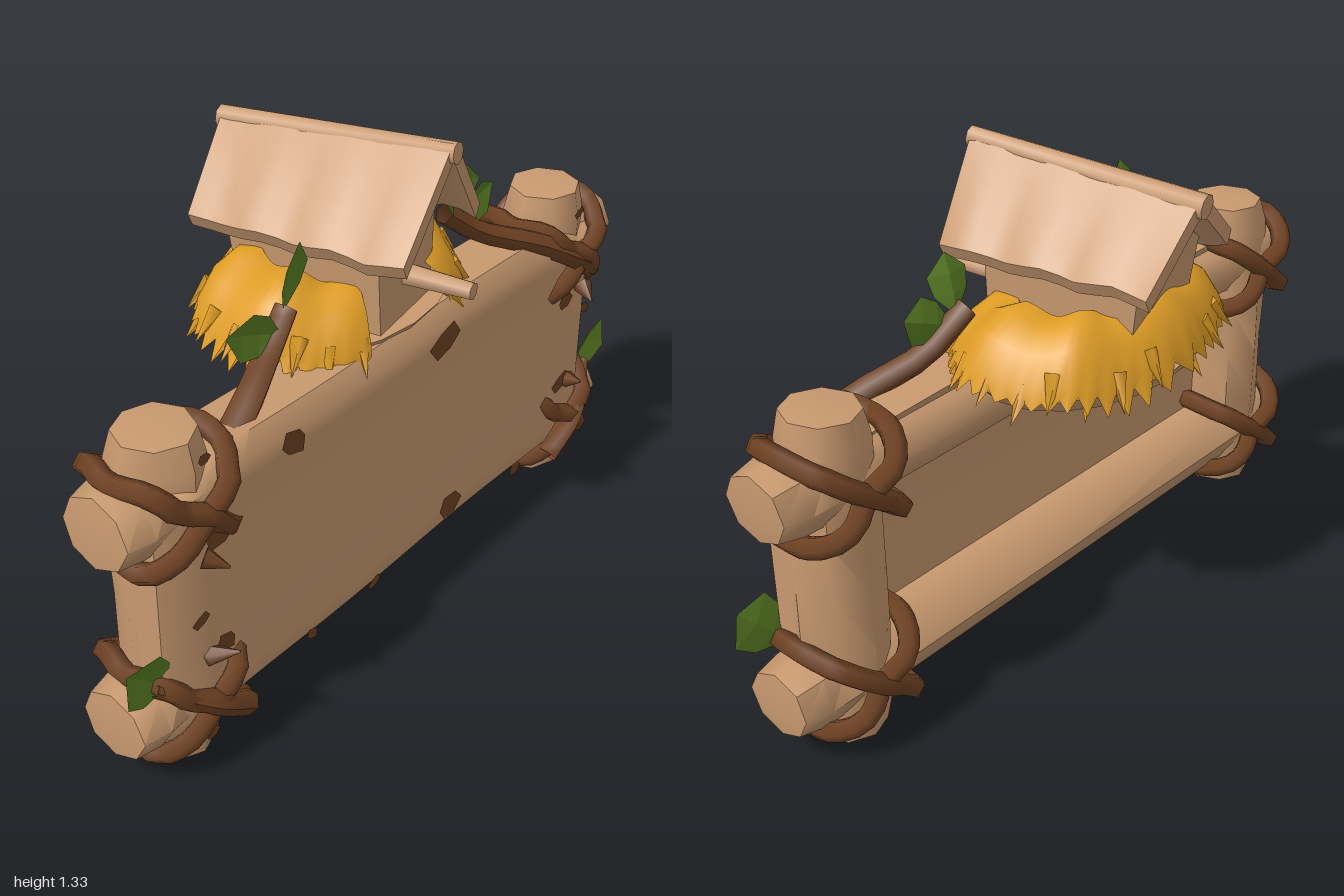
import * as THREE from 'three';
import { toCreasedNormals } from 'three/addons/utils/BufferGeometryUtils.js';

const mat = (name, color, side = THREE.FrontSide) => {
  const m = new THREE.MeshStandardMaterial({ color, side });
  m.name = name;
  return m;
};

// Move every vertex by a rule
function reshape(geo, rule) {
  const p = geo.attributes.position, v = new THREE.Vector3();
  for (let i = 0; i < p.count; i++) {
    v.fromBufferAttribute(p, i);
    rule(v, i);
    p.setXYZ(i, v.x, v.y, v.z);
  }
  geo.computeVertexNormals();
  return geo;
}

const spow = (t, e) => Math.sign(t) * Math.abs(t) ** e;

// Front surface of the board: shallow hollow, soft rim
const boardZ = (x, y) => {
  const ex = Math.min(1, Math.abs(x) / 0.88), ey = Math.min(1, Math.abs(y - 0.478) / 0.362);
  const hollow = 0.02 * (1 - ex ** 6) * (1 - ey ** 5);
  return 0.248 - hollow - 0.05 * Math.max(ex ** 24, ey ** 16);
};

export function createModel() {
  const model = new THREE.Group();
  model.name = 'birdhouseSign';
  const wood = mat('wood', 0xc8996f);
  const bark = mat('bark', 0x6f4223, THREE.DoubleSide);
  const straw = mat('straw', 0xdf9d26, THREE.DoubleSide);
  const leafGreen = mat('leafGreen', 0x5c8125, THREE.DoubleSide);

  const add = (name, geo, material, parent = model) => {
    const mesh = new THREE.Mesh(geo, material);
    mesh.name = name;
    parent.add(mesh);
    return mesh;
  };

  // Chunky log along y, centred, with worn ends
  const logGeo = (len, r, mid, seed) => {
    const h = len / 2;
    const pts = [[0, -h], [r * 0.86, -h + 0.01], [r, -h + 0.08], [r, -h + 0.16], [mid, -h + 0.3], [mid, 0],
      [mid, h - 0.3], [r, h - 0.16], [r, h - 0.08], [r * 0.86, h - 0.01], [0, h]];
    const geo = new THREE.LatheGeometry(pts.map(([x, y]) => new THREE.Vector2(x, y)), 8);
    return reshape(geo, v => {
      const k = 1 + 0.05 * Math.sin(v.x * 23 + v.y * 9 + seed) * Math.cos(v.z * 19 + seed);
      v.x *= k;
      v.z *= k;
      if (Math.abs(v.y) > h - 0.02) v.y += 0.1 * v.x * Math.sin(seed * 3);
    });
  };

  // Frame
  for (const s of [-1, 1]) {
    const post = add(s < 0 ? 'rightPost' : 'leftPost', toCreasedNormals(logGeo(0.925, 0.11, 0.118, 2 + s), 0.85), wood);
    post.position.set(s * 0.77, 0.467, 0.108);
    post.scale.z = 1.04;
  }
  [['bottomLog', 0.19, 0.105, 0.1, 1.1], ['topLog', 0.748, 0.105, 0.092, 4]].forEach(([name, y, r, mid, seed]) => {
    const geo = logGeo(1.96, r, mid, seed).rotateZ(-Math.PI / 2);
    const log = add(name, toCreasedNormals(geo, 0.85), wood);
    log.position.set(0.005, y, 0.11);
    log.scale.z = 1.1;
  });

  // Board over the front of the frame; its back swells toward the top
  const board = reshape(new THREE.BoxGeometry(1.76, 0.724, 0.1, 28, 16, 1), v => {
    const y = v.y + 0.478;
    const up = Math.max(0, v.y / 0.362);
    const corner = Math.max(0, Math.abs(v.x) - 0.62) / 0.26;
    v.z = v.z > 0 ? boardZ(v.x, y) : 0.125 - 0.07 * up * up;
    v.y = y - 0.04 * corner * up ** 8 + 0.005 * Math.sin(v.x * 6);
  });
  add('board', toCreasedNormals(board, 0.9), wood);

  // Crossed vine lashings round each corner
  for (const sx of [-1, 1]) for (const y of [0.2, 0.74]) for (const tilt of [-1, 1]) {
    const pts = [];
    for (let i = 0; i < 16; i++) {
      const a = i / 16 * Math.PI * 2, d = 0.165 * spow(Math.cos(a), 0.8);
      const w = 0.007 * Math.sin(i * 2.3 + tilt);
      pts.push(new THREE.Vector3(sx * 0.765 + d * 0.82 + w, y + tilt * d * 0.66 + w, 0.106 + 0.145 * spow(Math.sin(a), 0.6) + w));
    }
    add('lashing', new THREE.TubeGeometry(new THREE.CatmullRomCurve3(pts, true), 32, 0.029, 5, true), bark);
  }

  // Tapering branches
  const branch = (name, points, r, tip) => {
    const curve = new THREE.CatmullRomCurve3(points.map(p => new THREE.Vector3(...p)));
    const n = 12, sides = 6;
    const geo = reshape(new THREE.TubeGeometry(curve, n, r, sides), (v, i) => {
      const t = Math.floor(i / (sides + 1)) / n;
      v.lerp(curve.getPointAt(t), t * (1 - tip));
    });
    add(name, geo, bark);
  };
  branch('leftBranch', [[0.9, 0.63, 0.19], [0.76, 0.73, 0.245], [0.6, 0.83, 0.2], [0.43, 0.91, 0.12], [0.315, 1.0, 0.09]], 0.038, 0.8);
  branch('rightBranch', [[-0.58, 0.8, 0.15], [-0.48, 0.87, 0.13], [-0.38, 0.93, 0.1], [-0.31, 1.0, 0.09]], 0.042, 0.75);
  for (const s of [-1, 1]) {
    branch('lowerTwig', [[s * 0.66, 0.12, 0.25], [s * 0.78, 0.21, 0.262], [s * 0.91, 0.31, 0.2]], 0.033, 0.5);
    branch('thorn', [[s * 0.78, 0.64, 0.25], [s * 0.75, 0.62, 0.3]], 0.028, 0.1);
    branch('thorn', [[s * 0.76, 0.33, 0.23], [s * 0.73, 0.36, 0.3]], 0.028, 0.1);
  }

  // Folded leaves: base position, length, width, lean, turn
  const leaf = (x, y, z, len, wid, lean, turn) => {
    const widths = [0.1, 0.85, 1, 0.05];
    const geo = reshape(new THREE.PlaneGeometry(1, 1, 2, 3), v => {
      const t = v.y + 0.5;
      v.x *= wid * widths[Math.round(t * 3)];
      v.y = t * len;
      v.z = Math.abs(v.x) * 0.3 + 0.03 * t * t;
    }).toNonIndexed();
    geo.computeVertexNormals();
    const mesh = add('leaf', geo, leafGreen);
    mesh.position.set(x, y, z);
    mesh.rotation.set(0, turn, lean);
  };
  leaf(-0.33, 1.01, 0.1, 0.17, 0.1, -0.15, 0.2);
  leaf(-0.36, 0.96, 0.11, 0.18, 0.12, 1.2, -0.2);
  leaf(0.34, 0.99, 0.1, 0.15, 0.11, -0.05, -0.2);
  leaf(0.35, 0.96, 0.11, 0.16, 0.12, -1.15, 0.2);
  leaf(-0.865, 0.29, 0.19, 0.18, 0.14, 0.8, -0.1);
  leaf(0.865, 0.285, 0.19, 0.18, 0.15, -0.75, 0.1);

  const chipGeo = (r, k) => reshape(new THREE.CircleGeometry(r, 6), v => {
    const j = 1 + 0.25 * Math.sin(v.x / r * 2.7 + v.y / r * 1.9 + k * 2.1);
    v.set(v.x * j * 1.1, v.y * j * 0.85, 0);
  });

  // Bark chips on the board: x, y, radius
  [[-0.72, 0.66, 0.04], [-0.46, 0.77, 0.045], [0.13, 0.76, 0.05], [0.71, 0.615, 0.032], [0.83, 0.54, 0.022],
    [0.72, 0.34, 0.034], [0.18, 0.21, 0.046], [-0.4, 0.15, 0.022], [-0.15, 0.155, 0.02], [0.51, 0.145, 0.026],
    [-0.71, 0.345, 0.033], [-0.79, 0.46, 0.022],
  ].forEach(([x, y, r], k) => add('barkChip', chipGeo(r, k), bark).position.set(x, y, boardZ(x, y) + 0.006));

  // Bark chips on the post ends
  [[-0.76, 0.08, 0.022], [0.77, 0.08, 0.022], [0.77, 0.865, 0.018], [-0.74, 0.87, 0.018],
  ].forEach(([x, y, r], k) => add('postChip', chipGeo(r, k), bark).position.set(x, y, 0.226));

  // Platform under the nest
  const platform = add('nestPlatform', toCreasedNormals(new THREE.CylinderGeometry(0.37, 0.33, 0.045, 20), 0.6), wood);
  platform.position.set(0.025, 0.83, -0.05);
  platform.scale.z = 0.72;

  // Straw nest: smooth crescent mound, open at the front, with a ragged fringe
  const rows = [[0.4, 0.92], [0.5, 1.005], [0.68, 1.01], [0.85, 0.965], [0.97, 0.89], [1.0, 0.855]];
  const N = 72, pos = [], idx = [];
  const rim = (a, k) => [0.025 + spow(Math.sin(a), 0.85) * 0.385 * k, -0.045 + spow(Math.cos(a), 0.85) * 0.275 * k];
  const startAngle = 0.38;
  for (let i = 0; i <= N; i++) {
    const a = startAngle + i / N * (Math.PI - startAngle) * 2;
    const bump = Math.sin(i * 0.55) * 0.01;
    const drop = 0.05 * Math.max(0, Math.cos(a)) ** 2;
    rows.forEach(([r, y], j) => {
      const tip = j === 5 ? (i % 2 ? 0.05 + 0.04 * Math.sin(i * 2.9) : -0.02) : 0;
      const [x, z] = rim(a, r + tip + bump);
      pos.push(x, y - tip * 0.45 + bump - drop, z);
      if (i < N && j < 5) {
        const p = i * 6 + j, q = p + 6;
        idx.push(p, p + 1, q, q, p + 1, q + 1);
      }
    });
  }
  const nest = new THREE.BufferGeometry();
  nest.setAttribute('position', new THREE.Float32BufferAttribute(pos, 3));
  nest.setIndex(idx);
  nest.computeVertexNormals();
  add('strawNest', toCreasedNormals(nest, 0.9), straw);

  // Loose straw spikes round the rim
  for (let i = 0; i < 20; i++) {
    const a = 0.45 + i / 19 * (Math.PI * 2 - 0.9);
    const [x, z] = rim(a, 0.99);
    const spike = add('strawSpike', new THREE.ConeGeometry(0.024, 0.1, 4), straw);
    spike.position.set(x, 0.865 + 0.02 * Math.sin(i * 2.3) - 0.03 * Math.max(0, Math.cos(a)), z);
    spike.quaternion.setFromUnitVectors(new THREE.Vector3(0, 1, 0),
      new THREE.Vector3(Math.sin(a) * 0.7, -0.7, Math.cos(a) * 0.5).normalize());
  }

  // Birdhouse, turned a little
  const house = new THREE.Group();
  house.name = 'birdhouse';
  house.position.set(0.02, 0, -0.03);
  house.rotation.y = 0.17;
  model.add(house);
  const wall = new THREE.Shape([[-0.13, 0.8], [0.13, 0.8], [0.145, 1.11], [0.0, 1.265], [-0.155, 1.11]].map(p => new THREE.Vector2(...p)));
  const walls = reshape(new THREE.ExtrudeGeometry(wall, { depth: 0.43, bevelEnabled: false }), v => {
    v.z -= 0.23;
    if (v.z < 0 && v.y < 1) v.z += 0.04;
    if (v.z < 0 && v.y > 1.2) v.y -= 0.03;
  });
  add('walls', toCreasedNormals(walls, 0.4), wood, house);
  add('entranceHole', new THREE.CircleGeometry(0.04, 7), bark, house).position.set(-0.03, 1.075, 0.204);
  const perch = add('perch', new THREE.CylinderGeometry(0.024, 0.032, 0.2, 6), wood, house);
  perch.rotation.x = Math.PI / 2;
  perch.position.set(0.0, 0.96, 0.28);

  // Warped roof slabs, one per side
  for (const s of [-1, 1]) {
    const width = s > 0 ? 0.185 : 0.22;
    const slab = reshape(new THREE.BoxGeometry(1, 1, 1, 5, 1, 12), v => {
      const u = 0.5 + s * v.x, t = v.z, top = v.y;
      const ridge = 1.295 + 0.045 * t;
      v.x = s * u * (width + 0.008 * Math.sin(t * 21)) + top * s * 0.018;
      v.z = t * (0.63 - 0.05 * u) + 0.012 * u;
      v.y = ridge + (1.085 - ridge) * u + top * 0.036 + 0.006 * u * Math.sin(t * 19 + s);
    });
    add('roofSlab', toCreasedNormals(slab, 0.6), wood, house);
  }
  const ridgeLog = add('ridgeLog', toCreasedNormals(new THREE.CylinderGeometry(0.028, 0.032, 0.65, 8), 0.9), wood, house);
  ridgeLog.rotation.x = Math.PI / 2 - 0.07;
  ridgeLog.position.set(0, 1.288, 0);

  return model;
}
